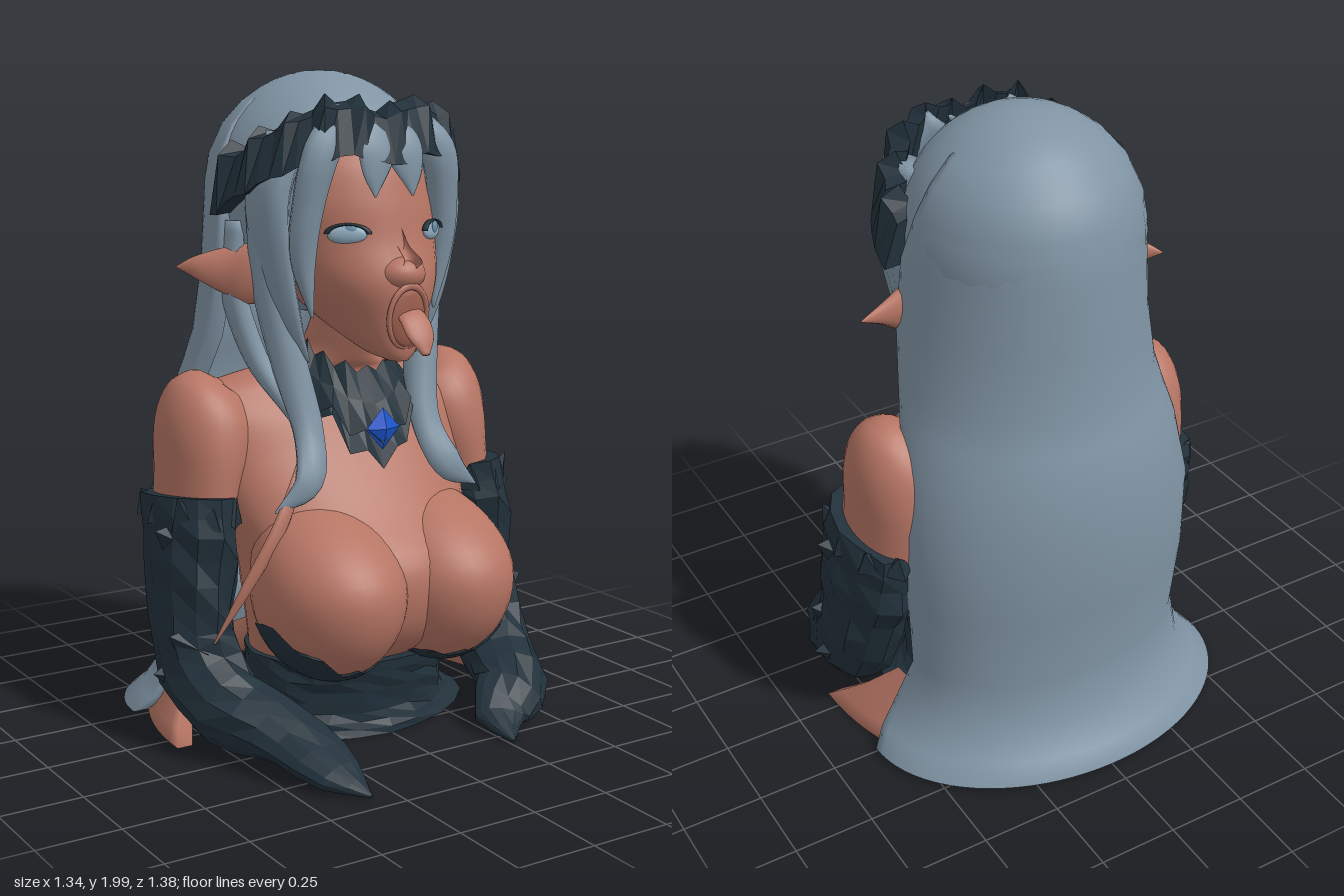
import * as THREE from 'three';

const V = (x, y, z) => new THREE.Vector3(x, y, z);
const paint = (name, color, side = THREE.FrontSide) => {
  const m = new THREE.MeshStandardMaterial({ color, side });
  m.name = name;
  return m;
};
const jag = (i) => { const s = Math.sin(i * 12.9898) * 43758.5453; return s - Math.floor(s); };
const flat = (g) => { const f = g.index ? g.toNonIndexed() : g; f.computeVertexNormals(); return f; };

// Joins closed rings of points; each ring turns counter-clockwise about the direction of travel
function skinRings(rings, caps = true) {
  const n = rings[0].length, pos = [], idx = [];
  rings.forEach((r) => r.forEach((p) => pos.push(p.x, Math.max(0, p.y), p.z)));
  for (let i = 0; i < rings.length - 1; i++) for (let j = 0; j < n; j++) {
    const a = i * n + j, b = i * n + (j + 1) % n;
    idx.push(a, b, a + n, b, b + n, a + n);
  }
  if (caps) [0, rings.length - 1].forEach((i) => {
    const c = V(0, 0, 0);
    rings[i].forEach((p) => c.addScaledVector(p, 1 / n));
    const k = pos.length / 3;
    pos.push(c.x, Math.max(0, c.y), c.z);
    for (let j = 0; j < n; j++) {
      const a = i * n + j, b = i * n + (j + 1) % n;
      if (i) idx.push(k, a, b); else idx.push(k, b, a);
    }
  });
  const g = new THREE.BufferGeometry();
  g.setAttribute('position', new THREE.Float32BufferAttribute(pos, 3));
  g.setIndex(idx);
  g.computeVertexNormals();
  return g;
}

// Sweeps ellipses along sections [x, y, z, a, b]; ref sets the roll, level keeps rings horizontal
function sweep(sections, { ref = V(0, 0, 1), level = false, steps = 24, sides = 20, rough = 0 } = {}) {
  const curve = (f) => new THREE.CatmullRomCurve3(sections.map(f), false, 'catmullrom', 0.5);
  const path = curve((s) => V(s[0], s[1], s[2])), size = curve((s) => V(s[3], s[4], 0));
  const rings = [];
  for (let i = 0; i <= steps; i++) {
    const c = path.getPoint(i / steps), r = size.getPoint(i / steps);
    const t = level ? V(0, 1, 0) : path.getTangent(i / steps);
    const u = ref.clone().cross(t).normalize(), v = t.clone().cross(u);
    rings.push(Array.from({ length: sides }, (_, j) => {
      const w = j / sides * Math.PI * 2, k = 1 + rough * (jag(i * sides + j) - 0.5);
      return c.clone().addScaledVector(u, Math.max(r.x, 0.002) * k * Math.cos(w))
        .addScaledVector(v, Math.max(r.y, 0.002) * k * Math.sin(w));
    }));
  }
  return skinRings(rings);
}

// Curved shell open to the front, from rows [y, half width, front z, back z]
function crescent(rows, thick) {
  const n = 40, rings = rows.map(([y, w, zf, zb]) => {
    const arc = (d) => Array.from({ length: n + 1 }, (_, i) => {
      const t = (i / n - 0.5) * Math.PI;
      return V((w - d) * Math.sin(t), y, zf + (Math.min(zb + d, zf) - zf) * Math.cos(t));
    });
    return [...arc(0), ...arc(Math.min(thick, w * 0.5)).reverse()];
  });
  const last = rings[rings.length - 1];
  rings.push(last.map((p, i) => p.clone().lerp(last[last.length - 1 - i], 0.5)));
  return skinRings(rings, false);
}

// Rounded bust form; edge(phi) limits it to a cup growing from the bottom pole
function bust(s, grow, edge) {
  const g = new THREE.SphereGeometry(1, 36, 24), p = g.attributes.position;
  for (let i = 0; i < p.count; i++) {
    const phi = Math.atan2(p.getZ(i), p.getX(i) * s);
    let th = Math.acos(THREE.MathUtils.clamp(p.getY(i), -1, 1));
    if (edge) th = Math.PI - (Math.PI - th) * edge(phi);
    const dy = 0.27 * grow * Math.cos(th), up = Math.max(0, dy);
    p.setXYZ(i, s * 0.195 + 0.222 * grow * Math.sin(th) * Math.cos(phi) * s, 0.475 + dy,
      0.245 + 0.27 * grow * Math.sin(th) * Math.sin(phi) - 2.2 * up * up);
  }
  g.computeVertexNormals();
  return g;
}

export function createModel() {
  const root = new THREE.Group();
  root.name = 'elfBust';
  const skin = paint('skin', 0xb67564), hair = paint('silver hair', 0x8094a4);
  const dark = paint('dark cloth', 0x22313b, THREE.DoubleSide), blue = paint('blue gem', 0x1a55d0);
  const eyeMat = paint('pale eye', 0x93afc2), irisMat = paint('iris', 0x6a8fa8);
  const mouthMat = paint('mouth', 0x9b5d4d);
  const add = (name, geo, mat) => {
    const m = new THREE.Mesh(geo, mat);
    m.name = name;
    root.add(m);
    return m;
  };
  const ball = (name, mat, c, r, yaw = 0) => {
    const m = add(name, new THREE.SphereGeometry(1, 32, 24), mat);
    m.position.set(...c); m.scale.set(...r); m.rotation.y = yaw;
  };
  const spike = (name, at, dir, len, r) => {
    const m = add(name, flat(new THREE.ConeGeometry(r, len, 4)), dark);
    const d = dir.normalize();
    m.position.copy(at).addScaledVector(d, len * 0.35);
    m.quaternion.setFromUnitVectors(V(0, 1, 0), d);
  };

  // Torso with sloping chest and shoulders, neck, bodice
  add('torso', sweep([[0, 0.12, 0, 0.27, 0.2], [0, 0.21, 0.0, 0.3, 0.24], [0, 0.3, 0.06, 0.33, 0.31],
    [0, 0.42, 0.08, 0.35, 0.35], [0, 0.56, 0.07, 0.37, 0.35], [0, 0.7, 0.01, 0.41, 0.28], [0, 0.85, -0.05, 0.45, 0.225],
    [0, 0.97, -0.08, 0.49, 0.18], [0, 1.04, -0.1, 0.45, 0.145], [0, 1.08, -0.09, 0.32, 0.12],
    [0.01, 1.12, -0.05, 0.15, 0.11], [0.01, 1.22, 0, 0.105, 0.11], [0.01, 1.32, 0.03, 0.1, 0.11]],
  { level: true, steps: 60, sides: 40 }), skin);
  add('bodice', flat(sweep([[0, 0, -0.13, 0.46, 0.43], [0, 0.06, -0.05, 0.36, 0.33], [0, 0.15, 0.02, 0.325, 0.27],
    [0, 0.235, 0.03, 0.33, 0.28]], { level: true, steps: 8, sides: 24, rough: 0.05 })), dark);

  for (const s of [1, -1]) {
    const side = s > 0 ? 'left' : 'right';
    const mirror = (list) => list.map((p) => [p[0] * s, ...p.slice(1)]);
    add(side + 'Bust', bust(s, 1), skin);
    add(side + 'Cup', flat(bust(s, 1.025, (phi) =>
      0.21 + 0.2 * Math.max(0, Math.cos(phi)) ** 2 + 0.025 * Math.sin(phi * 9))), dark);

    // Upper arm, then the sleeve down to the forearm point
    const X = V(1, 0, 0), tipX = s > 0 ? 0.26 : 0.33, tipZ = s > 0 ? 0.57 : 0.69;
    add(side + 'Arm', sweep(mirror([[0.38, 1.075, -0.1, 0.02, 0.02], [0.395, 1.05, -0.1, 0.1, 0.11],
      [0.418, 0.98, -0.098, 0.16, 0.14], [0.432, 0.88, -0.095, 0.185, 0.14], [0.455, 0.76, -0.09, 0.185, 0.115],
      [0.48, 0.6, -0.08, 0.17, 0.1]]), { ref: X, sides: 28 }), skin);
    add(side + 'Sleeve', flat(sweep(mirror([[0.488, 0.735, -0.075, 0.2, 0.12], [0.5, 0.6, -0.06, 0.21, 0.125],
      [0.515, 0.42, -0.03, 0.185, 0.12], [0.52, 0.25, 0.03, 0.16, 0.12], [0.49, 0.14, 0.18, 0.12, 0.12],
      [0.41, 0.1, 0.36, 0.075, 0.11], [tipX + 0.04, 0.045, tipZ - 0.13, 0.04, 0.085], [tipX, 0.008, tipZ, 0.006, 0.006]]),
    { ref: X, steps: 16, sides: 12, rough: 0.16 })), dark);
    for (let i = 0; i < 9; i++) {
      const a = i / 9 * Math.PI * 2, c = Math.cos(a), d = Math.sin(a);
      spike(side + 'CuffPoint', V(s * (0.49 + 0.1 * c), 0.69, -0.075 + 0.185 * d),
        V(s * c * 0.5, 0.9, d * 0.3), 0.05 + 0.05 * jag(i), 0.05);
    }
    [[0.57, 0.22, 0.02, 0.1, 0.12, 0.09], [0.57, 0.32, 0.08, 0.5, 0.1, 0.08], [0.57, 0.62, 0, 0.5, 0.1, 0.08]]
      .forEach(([x, y, z, lift, len, r]) => spike(side + 'SleevePoint', V(s * x, y, z), V(s, lift, 0.1), len, r));

    // Pointed ear
    const dy = s > 0 ? 0.01 : -0.05;
    add(side + 'Ear', sweep(mirror([[0.22, 1.39, 0.05, 0.05, 0.03], [0.3, 1.41 + dy * 0.3, 0.0, 0.09, 0.04],
      [0.36, 1.43 + dy * 0.5, -0.05, 0.072, 0.032], [0.44, 1.45 + dy * 0.7, -0.095, 0.036, 0.018],
      [s > 0 ? 0.53 : 0.49, 1.465 + dy, -0.135, 0.002, 0.002]]), { sides: 12 }), skin);

    // Half-closed eye with iris and dark upper lash
    const ex = 0.015 + s * 0.148;
    ball(side + 'Eye', eyeMat, [ex, 1.522, 0.249], [0.058, 0.027, 0.014], s * 0.6);
    ball(side + 'Iris', irisMat, [ex + 0.005, 1.533, 0.26], [0.021, 0.018, 0.006], s * 0.6);
    const lash = add(side + 'Lash', new THREE.TorusGeometry(0.061, 0.009, 6, 18, Math.PI), dark);
    lash.position.set(ex, 1.525, 0.255); lash.scale.y = 0.45; lash.rotation.y = s * 0.6;

    // Fringe, hair beside the face and long front lock
    const strands = [
      [[0.1, 1.86, 0.18, 0.05, 0.03], [0.2, 1.76, 0.22, 0.06, 0.04], [0.235, 1.6, 0.2, 0.05, 0.04],
        [0.24, 1.45, 0.18, 0.04, 0.035], [0.215, 1.28, 0.19, 0.004, 0.004]],
      [[0.24, 1.8, 0.08, 0.06, 0.09], [0.3, 1.62, 0.08, 0.05, 0.1], [0.28, 1.42, 0.09, 0.04, 0.085],
        [0.24, 1.26, 0.1, 0.03, 0.06], [0.19, 1.14, 0.13, 0.004, 0.004]],
      [[0.3, 1.6, 0.04, 0.04, 0.06], [0.275, 1.35, 0.05, 0.05, 0.06], [0.23, 1.1, 0.1, 0.055, 0.05],
        [0.21, 0.93, 0.16, 0.05, 0.035], [0.25, 0.8, 0.225, 0.05, 0.025], [0.36, 0.72, 0.22, 0.003, 0.003]],
      [[0.33, 1.55, -0.07, 0.03, 0.05], [0.34, 1.35, -0.06, 0.035, 0.05], [0.3, 1.15, 0.0, 0.035, 0.04],
        [0.25, 1.0, 0.11, 0.02, 0.02], [0.2, 0.88, 0.17, 0.003, 0.003]],
      [[0.02, 1.85, 0.23, 0.05, 0.02], [0.045, 1.77, 0.27, 0.065, 0.02], [0.06, 1.7, 0.285, 0.045, 0.015],
        [0.065, 1.63, 0.295, 0.003, 0.003]],
    ];
    strands.forEach((st) => add(side + 'HairLock', sweep(mirror(st), { sides: 10 }), hair));
  }
  add('looseStrand', sweep([[-0.2, 0.92, 0.15, 0.012, 0.012], [-0.34, 0.7, 0.23, 0.025, 0.012],
    [-0.45, 0.52, 0.22, 0.02, 0.012], [-0.54, 0.34, 0.17, 0.003, 0.003]], { sides: 8 }), skin);

  // Head with small nose, open mouth and tongue
  add('head', sweep([[0.02, 1.15, 0.29, 0.03, 0.03], [0.02, 1.18, 0.235, 0.08, 0.095], [0.02, 1.27, 0.13, 0.155, 0.21],
    [0.015, 1.38, 0.06, 0.225, 0.285], [0.01, 1.5, 0.01, 0.262, 0.295], [0, 1.62, -0.01, 0.275, 0.29],
    [0, 1.74, -0.04, 0.25, 0.275], [0, 1.82, -0.06, 0.17, 0.18], [0, 1.87, -0.06, 0.03, 0.03]],
  { level: true, steps: 44, sides: 36 }), skin);
  ball('upperLip', skin, [0.02, 1.405, 0.275], [0.085, 0.06, 0.092]);
  add('nose', sweep([[0.015, 1.55, 0.28, 0.012, 0.012], [0.015, 1.49, 0.32, 0.016, 0.022], [0.015, 1.455, 0.37, 0.02, 0.036],
    [0.015, 1.435, 0.365, 0.024, 0.025], [0.015, 1.42, 0.345, 0.015, 0.01]], { sides: 12, level: true }), skin);
  ball('mouthOpening', mouthMat, [0.02, 1.285, 0.335], [0.064, 0.09, 0.016]);
  const lips = add('lips', new THREE.TorusGeometry(0.065, 0.008, 10, 32), skin);
  lips.position.set(0.02, 1.285, 0.34); lips.scale.y = 1.38; lips.rotation.x = 0.15;
  add('tongue', sweep([[0.02, 1.31, 0.31, 0.03, 0.012], [0.025, 1.28, 0.36, 0.046, 0.014],
    [0.03, 1.23, 0.395, 0.044, 0.014], [0.03, 1.18, 0.42, 0.012, 0.008]], { sides: 14 }), skin);

  // Crown of hair, long back hair and the skin rim at its base
  ball('hairCap', hair, [0, 1.62, -0.12], [0.355, 0.37, 0.36]);
  add('backHair', crescent([[1.96, 0.13, -0.12, -0.25], [1.9, 0.235, -0.12, -0.359], [1.83, 0.297, -0.12, -0.422],
    [1.74, 0.342, -0.11, -0.466], [1.6, 0.368, -0.07, -0.488], [1.4, 0.385, -0.06, -0.495],
    [1.2, 0.405, -0.1, -0.51], [1.1, 0.425, -0.14, -0.54], [1.0, 0.45, -0.18, -0.57], [0.8, 0.48, -0.23, -0.595],
    [0.55, 0.475, -0.25, -0.58], [0.3, 0.46, -0.24, -0.55], [0.15, 0.5, -0.2, -0.58],
    [0.06, 0.56, -0.21, -0.64], [0.012, 0.605, -0.25, -0.685]], 0.05), hair);
  add('baseRim', crescent([[0.2, 0.46, -0.14, -0.46], [0.1, 0.54, -0.05, -0.51], [0.04, 0.59, 0.02, -0.58],
    [0, 0.615, 0.07, -0.665]], 0.05), skin);

  // Leaning headband with jagged edges
  const band = [];
  for (let i = 0; i <= 30; i++) {
    const a = (i / 30 - 0.5) * Math.PI, n = V(Math.sin(a), 0, Math.cos(a));
    const k = i % 3 === 1 ? (0.03 + 0.035 * jag(i)) * (0.4 + 0.6 * Math.abs(n.x)) : 0;
    const dip = -0.045 * Math.exp(-a * a * 25);
    const c = V(0.37 * n.x, 1.645 + 0.195 * n.z + dip, -0.06 + 0.315 * n.z);
    const at = (out, up) => c.clone().addScaledVector(n, out).add(V(0, up, 0));
    band.push([at(-0.06 + k * 0.8, 0.075 + k * 0.8), at(0.0 + k * 0.6, 0.055 + k * 0.4),
      at(0.045, -0.075 - k * 0.3), at(-0.03, -0.07)]);
  }
  add('headband', flat(skinRings(band)), dark);

  // Two-tier jagged collar with a gem
  const collar = (name, topY, hemY, drop, r0, r1, tooth) => {
    const rings = [1, 0.5, 0].map((v) => Array.from({ length: 24 }, (_, i) => {
      const a = i / 24 * Math.PI * 2, f = Math.max(0, Math.cos(a)), k = i % 2 ? 0 : tooth * (0.6 + 0.4 * jag(i));
      const top = V(0.015 + r0 * Math.sin(a), topY - 0.07 * f + k * 0.6, 0.005 + (r0 - 0.01) * Math.cos(a));
      const hem = V(0.015 + r1 * Math.sin(a), hemY - drop * f ** 3 - k, 0.02 + (r1 - 0.05) * Math.cos(a) + 0.05 * f);
      return top.lerp(hem, v);
    }));
    add(name, flat(skinRings(rings, false)), dark);
  };
  collar('collar', 1.16, 1.05, 0.13, 0.135, 0.2, 0.06);
  collar('collarPoint', 1.12, 1.05, 0.2, 0.13, 0.205, 0.07);
  const gem = add('gem', flat(new THREE.OctahedronGeometry(1)), blue);
  gem.position.set(0.02, 0.93, 0.21); gem.scale.set(0.06, 0.064, 0.022);
  return root;
}
